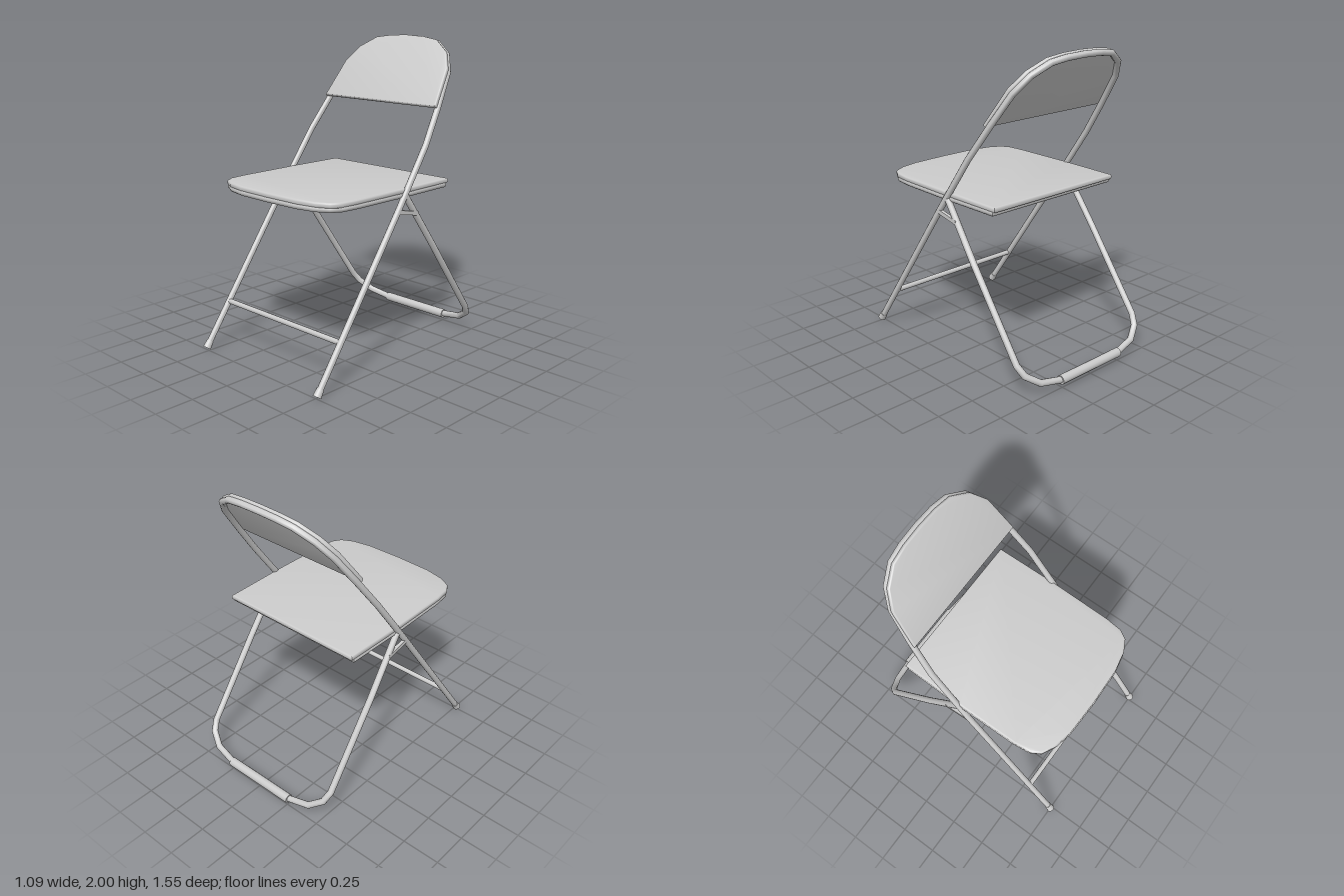
import * as THREE from 'three';
import { toCreasedNormals } from 'three/addons/utils/BufferGeometryUtils.js';

const material = new THREE.MeshStandardMaterial({ color: 0xcccccc, side: THREE.DoubleSide });

function add(parent, name, geometry) {
  const mesh = new THREE.Mesh(geometry, material);
  mesh.name = name;
  parent.add(mesh);
  return mesh;
}

// Half outline (x >= 0, starting on the axis or ending on it) to a full symmetric outline
function mirror(half) {
  const other = half.filter(p => p[0] > 0).reverse().map(([x, y]) => [-x, y]);
  return half[0][0] === 0 ? [...other, ...half] : [...half, ...other];
}

// Round tube with mitred bends along a path in the xy plane
function bentTube(path, radius, closed = false, sides = 12) {
  const pts = path.map(p => new THREE.Vector2(...p));
  const count = pts.length, pos = [], index = [];
  const at = i => pts[closed ? (i + count) % count : Math.min(Math.max(i, 0), count - 1)];
  for (let i = 0; i < count; i++) {
    const before = at(i).clone().sub(at(i - 1)).normalize();
    const after = at(i + 1).clone().sub(at(i)).normalize();
    const t = before.clone().add(after).normalize();
    const stretch = 1 / t.dot(after.lengthSq() ? after : before);
    for (let j = 0; j < sides; j++) {
      const a = j / sides * Math.PI * 2, c = Math.cos(a) * radius * stretch;
      pos.push(pts[i].x - t.y * c, pts[i].y + t.x * c, Math.sin(a) * radius);
    }
  }
  for (let i = 0; i < (closed ? count : count - 1); i++) {
    for (let j = 0; j < sides; j++) {
      const k = (j + 1) % sides, n = ((i + 1) % count) * sides;
      const a = i * sides + j, b = i * sides + k, c = n + j, d = n + k;
      index.push(a, b, c, b, d, c);
    }
  }
  const g = new THREE.BufferGeometry();
  g.setAttribute('position', new THREE.Float32BufferAttribute(pos, 3));
  g.setIndex(index);
  g.computeVertexNormals();
  return toCreasedNormals(g, 0.9);
}

// Flat panel with softened edges, from z = 0 to z = thickness
function panel(outline, thickness, bevel) {
  const shape = new THREE.Shape(outline.map(p => new THREE.Vector2(...p)));
  const g = new THREE.ExtrudeGeometry(shape, {
    depth: thickness - 2 * bevel, bevelThickness: bevel, bevelSize: bevel,
    bevelOffset: -bevel, bevelSegments: 3,
  });
  g.translate(0, 0, bevel);
  return toCreasedNormals(g, 0.7);
}

export function createModel() {
  const chair = new THREE.Group();
  chair.name = 'foldingChair';

  // Main frame: front legs rising into the back hoop, in one leaning plane
  const lean = 0.617;
  const along = ([x, y]) => [x, (y - 0.016) / Math.cos(lean)];
  const frame = new THREE.Group();
  frame.name = 'mainFrame';
  frame.position.set(0, 0.016, 0.755);
  frame.rotation.x = -lean;
  chair.add(frame);
  const hoop = [[0, 1.972], [0.14, 1.967], [0.25, 1.95], [0.36, 1.885], [0.43, 1.78],
    [0.472, 1.575], [0.505, 1.36], [0.515, 1.0], [0.515, 0.03]];
  add(frame, 'frameTube', bentTube(mirror(hoop).map(along), 0.02));

  // Backrest sits on the front of the hoop
  const back = [[0, 1.977], [0.14, 1.972], [0.26, 1.955], [0.375, 1.888], [0.445, 1.787], [0.483, 1.562]];
  add(frame, 'backrest', panel(mirror(back).map(along), 0.03, 0.01)).position.z = 0.012;

  // Rung between the front legs and rubber feet
  const rung = add(frame, 'frontRung', new THREE.CylinderGeometry(0.017, 0.017, 1.03, 12));
  rung.rotation.z = Math.PI / 2;
  rung.position.y = 0.336;
  for (const side of [-1, 1]) {
    add(frame, 'frontFoot', new THREE.CylinderGeometry(0.023, 0.027, 0.05, 12)).position.set(side * 0.515, 0.025, 0);
  }

  // Rear leg loop, hanging from the pivot below the seat
  const rear = new THREE.Group();
  rear.name = 'rearLegs';
  rear.position.set(0, 1.085, 0);
  rear.rotation.x = 0.624;
  chair.add(rear);
  const loop = [[0.508, 0], [0.52, -0.45], [0.522, -1.09], [0.497, -1.164], [0.41, -1.238], [0.26, -1.272]];
  add(rear, 'rearLegTube', bentTube(mirror(loop), 0.021));
  const sleeve = add(rear, 'rearFloorSleeve', new THREE.CylinderGeometry(0.03, 0.03, 0.52, 12));
  sleeve.rotation.z = Math.PI / 2;
  sleeve.position.y = -1.274;

  // Seat: pad over a tubular rim
  const seat = new THREE.Group();
  seat.name = 'seat';
  seat.rotation.x = Math.PI / 2;
  chair.add(seat);
  const front = [[0, 0.662], [0.25, 0.655], [0.38, 0.63], [0.46, 0.588], [0.495, 0.53],
    [0.507, 0.42], [0.512, 0], [0.505, -0.43]];
  add(seat, 'seatPad', panel(mirror(front), 0.034, 0.012)).position.z = -1.12;
  const rim = front.map(([x, z]) => [x * 0.962, z > 0 ? z - 0.017 : z * 0.91]);
  add(seat, 'seatRim', bentTube(mirror(rim), 0.021, true)).position.z = -1.079;

  // Folding links between the front and rear legs
  for (const side of [-1, 1]) {
    const link = add(chair, 'foldingLink', new THREE.BoxGeometry(0.022, 0.026, 0.18));
    link.position.set(side * 0.522, 0.968, -0.015);
    link.rotation.x = -0.2;
  }
  return chair;
}
